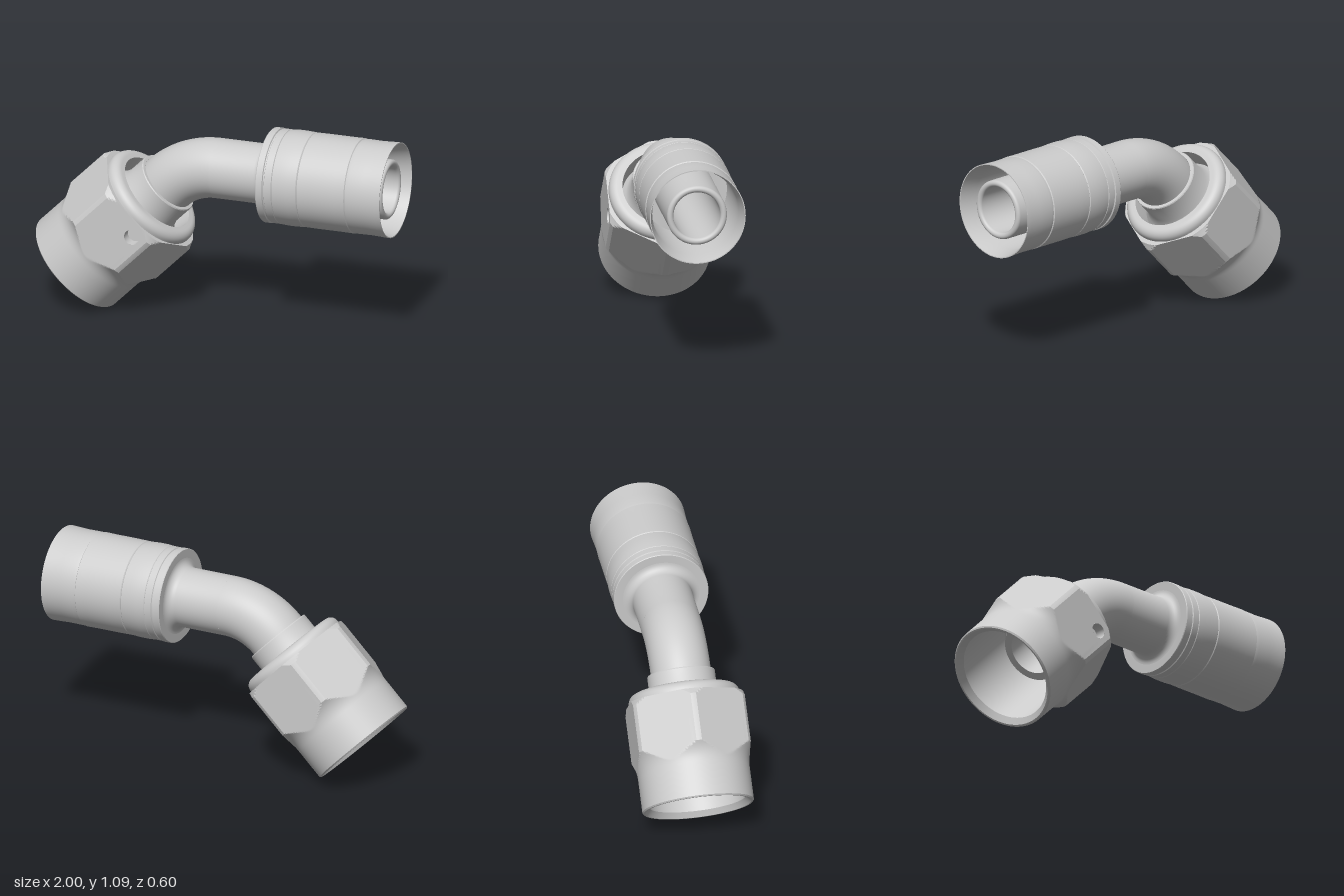
import * as THREE from 'three';
import { toCreasedNormals } from 'three/addons/utils/BufferGeometryUtils.js';

const material = new THREE.MeshStandardMaterial({ color: 0xcccccc, side: THREE.DoubleSide });
const AXIS_Y = 0.84, BEND_X = 0.006, BEND_R = 0.4, TUBE_R = 0.16, BORE_R = 0.125;
const FLAT_R = 0.3;

function add(parent, name, geometry) {
  const mesh = new THREE.Mesh(geometry, material);
  mesh.name = name;
  parent.add(mesh);
  return mesh;
}

// Sharpen edges; scaled up so that small details are not merged
function crease(geometry, angle = 0.4) {
  geometry.scale(100, 100, 100);
  return toCreasedNormals(geometry, angle).scale(0.01, 0.01, 0.01);
}

// Profile points are [radius, position along axis]
const lathe = (points, segments = 72) =>
  new THREE.LatheGeometry(points.map(([r, s]) => new THREE.Vector2(r, s)), segments);

// Rounded run of profile points around a centre
function arc(r, s, radius, from, to, steps = 8) {
  return Array.from({ length: steps + 1 }, (_, i) => {
    const a = from + (to - from) * i / steps;
    return [r + radius * Math.cos(a), s + radius * Math.sin(a)];
  });
}

function nutGeometry() {
  const profile = [[0.29, 0], [0.297, 0.007]];
  // Flared run-out from round skirt to hexagon
  for (let i = 0; i <= 24; i++) {
    const t = i / 24;
    profile.push([0.297 + 0.042 * t ** 2.5, 0.18 + 0.115 * t]);
  }
  profile.push(
    [0.339, 0.455], [0.339, 0.55], [0.332, 0.56], [0.325, 0.57], [0.319, 0.58], [0.295, 0.58],
    ...arc(0.25, 0.59, 0.045, 0, Math.PI / 2),
    [0.226, 0.635], [0.22, 0.56], [0.22, 0.52], [0.255, 0.44], [0.255, 0.03], [0.282, 0], [0.29, 0]);
  const geometry = lathe(profile, 144);

  // Cut the round blank down to six flats
  const p = geometry.attributes.position;
  for (let i = 0; i < p.count; i++) {
    const x = p.getX(i), z = p.getZ(i), r = Math.hypot(x, z);
    const sector = Math.PI / 3;
    const a = Math.atan2(x, z);
    const off = a - Math.round(a / sector) * sector;
    const k = Math.min(1, FLAT_R / Math.cos(off) / r);
    p.setX(i, x * k);
    p.setZ(i, z * k);
  }

  // Open a window in the front flat for the drilled panel
  const index = geometry.index.array, kept = [];
  for (let i = 0; i < index.length; i += 3) {
    const tri = [index[i], index[i + 1], index[i + 2]];
    const mean = (get) => tri.reduce((sum, v) => sum + get(v), 0) / 3;
    const x = mean(v => p.getX(v)), y = mean(v => p.getY(v)), z = mean(v => p.getZ(v));
    const inside = z > 0.29 && x > PANEL.x0 && x < PANEL.x1 && y > PANEL.y0 && y < PANEL.y1;
    if (!inside) kept.push(...tri);
  }
  geometry.setIndex(kept);
  return crease(geometry, 0.3);
}

const PANEL = {
  x0: FLAT_R * Math.tan(Math.PI / 36), x1: FLAT_R * Math.tan(5 * Math.PI / 36),
  y0: 0.455, y1: 0.55,
};

function createNut() {
  const nut = new THREE.Group();
  nut.name = 'swivelNut';
  add(nut, 'hexNutBody', nutGeometry());

  // Drilled pin hole in the front flat
  const hole = { x: 0.085, y: 0.5025, r: 0.042, depth: 0.06 };
  const { x0, x1, y0, y1 } = PANEL;
  const shape = new THREE.Shape([[x0, y0], [x1, y0], [x1, y1], [x0, y1]].map(c => new THREE.Vector2(...c)));
  shape.holes.push(new THREE.Path().absarc(hole.x, hole.y, hole.r, 0, Math.PI * 2, true));
  add(nut, 'drilledPanel', new THREE.ShapeGeometry(shape, 32)).position.z = FLAT_R;
  const wall = new THREE.CylinderGeometry(hole.r, hole.r, hole.depth, 32, 1, true).rotateX(Math.PI / 2);
  add(nut, 'pinHoleWall', wall).position.set(hole.x, hole.y, FLAT_R - hole.depth / 2);
  add(nut, 'pinHoleFloor', new THREE.CircleGeometry(hole.r, 32))
    .position.set(hole.x, hole.y, FLAT_R - hole.depth);

  // Collared stem with conical sealing nose held inside the nut
  add(nut, 'stemNose', crease(lathe([
    [BORE_R, 0.7255], [BORE_R, 0.3], [0.165, 0.3], [0.235, 0.46], [0.235, 0.51], [0.2, 0.55],
    [0.18, 0.6], [0.18, 0.72], [0.177, 0.7255], [TUBE_R, 0.7255]])));
  return nut;
}

export function createModel() {
  const model = new THREE.Group();
  model.name = 'elbowHoseFitting';

  // Straight tube running through the sleeve as the hose tail
  const straight = new THREE.Group();
  straight.name = 'straightEnd';
  straight.rotation.z = -Math.PI / 2;
  straight.position.y = AXIS_Y;
  model.add(straight);
  add(straight, 'hoseTail', crease(lathe([
    [TUBE_R, BEND_X], [TUBE_R, 0.255],
    ...arc(TUBE_R + 0.045, 0.255, 0.045, Math.PI, Math.PI / 2),
    [0.18, 0.31], [TUBE_R, 0.4],
    ...arc(0.1425, 0.96, 0.0175, 0, Math.PI, 12),
    [BORE_R, BEND_X]])));

  // Crimped sleeve: shallow grooves outside, tapered pocket inside
  add(straight, 'crimpSleeve', crease(lathe([
    [0.19, 0.3], [0.251, 0.3], [0.254, 0.304], [0.254, 0.338], [0.247, 0.341], [0.247, 0.347],
    [0.252, 0.35], [0.252, 0.388], [0.249, 0.39], [0.252, 0.393],
    [0.255, 0.43], [0.255, 0.48], [0.252, 0.526], [0.248, 0.53], [0.252, 0.534],
    [0.253, 0.6], [0.253, 0.74], [0.254, 0.798], [0.249, 0.802],
    [0.252, 0.82], [0.251, 0.9], [0.254, 0.97], [0.255, 1],
    [0.25, 1], [0.23, 0.9], [0.23, 0.42], [TUBE_R, 0.42]])));

  // 45 degree bend, outer skin and bore
  for (const [name, r] of [['bentTube', TUBE_R], ['bentBore', BORE_R]]) {
    const bend = new THREE.TorusGeometry(BEND_R, r, 64, 32, Math.PI / 4).rotateZ(Math.PI / 2);
    add(model, name, bend).position.set(BEND_X, AXIS_Y - BEND_R, 0);
  }

  // Nut on the angled end
  const nut = createNut();
  nut.rotation.z = -Math.PI / 4;
  nut.position.set(-0.79, 0.21, 0);
  model.add(nut);
  return model;
}
